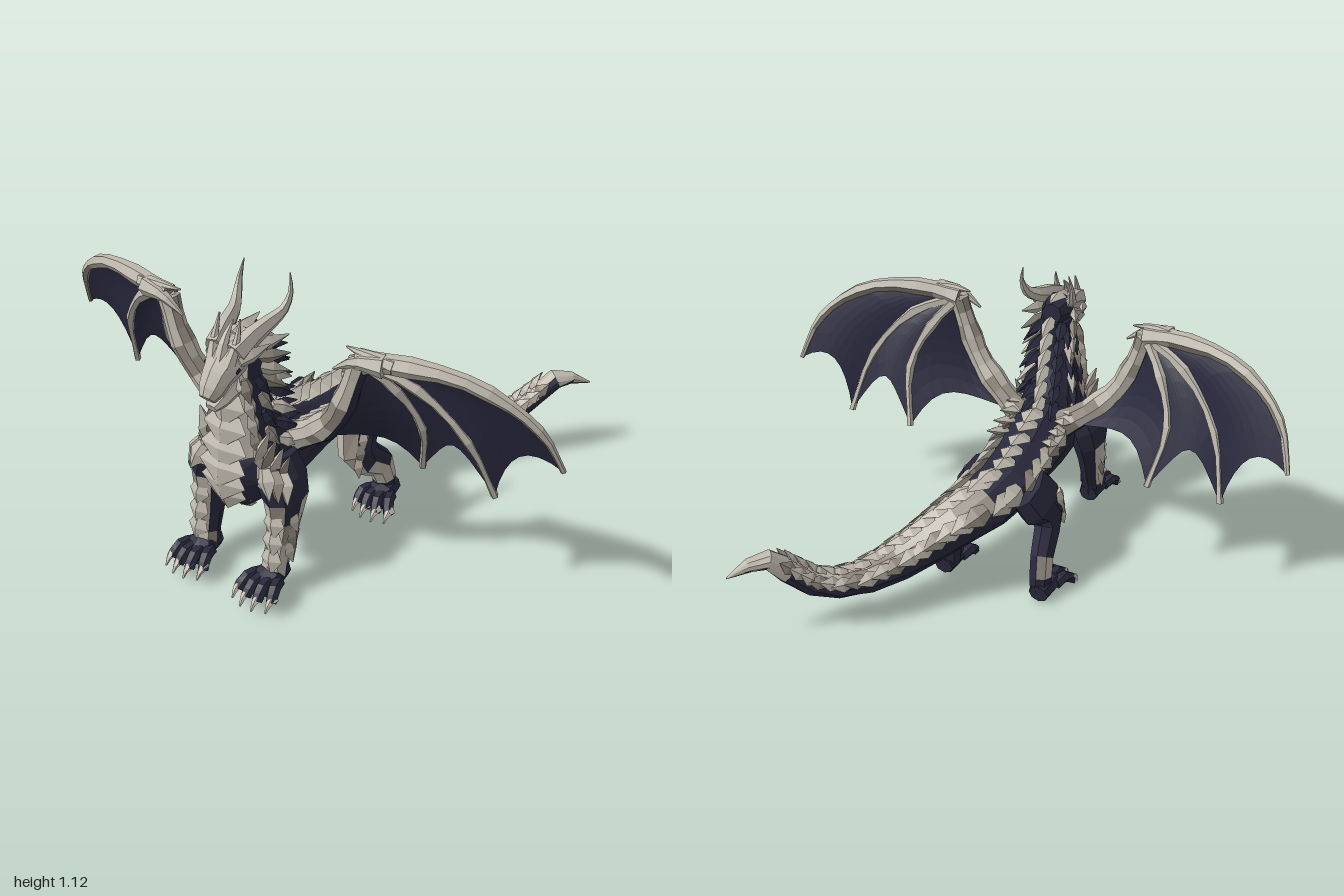
import * as THREE from 'three';
import { mergeGeometries } from 'three/addons/utils/BufferGeometryUtils.js';

const V = (x, y, z) => new THREE.Vector3(x, y, z);
const X = V(1, 0, 0), Y = V(0, 1, 0), Z = V(0, 0, 1);

// Flat-faced skin through stations [x, y, z, sideRadius, otherRadius];
// paint(normal, centre) picks a material index for each face.
function loft(st, sides, ref = X, paint = null) {
  const c = st.map(s => V(s[0], s[1], s[2]));
  const rings = st.map((s, i) => {
    const t = c[Math.min(i + 1, c.length - 1)].clone().sub(c[Math.max(i - 1, 0)]).normalize();
    const u = ref.clone().addScaledVector(t, -ref.dot(t)).normalize();
    const n = t.clone().cross(u);
    return Array.from({ length: sides }, (_, j) => {
      const a = j / sides * Math.PI * 2;
      return c[i].clone().addScaledVector(u, Math.cos(a) * s[3]).addScaledVector(n, Math.sin(a) * s[4]);
    });
  });
  const bins = [[], [], []];
  const face = (...q) => {
    const n = q[1].clone().sub(q[0]).cross(q[2].clone().sub(q[0])).normalize();
    const m = q.reduce((a, p) => a.add(p), V(0, 0, 0)).divideScalar(q.length);
    const bin = bins[paint ? paint(n, m) : 0];
    for (let k = 1; k < q.length - 1; k++) [q[0], q[k], q[k + 1]].forEach(p => bin.push(p.x, p.y, p.z));
  };
  const last = rings.length - 1;
  for (let j = 0; j < sides; j++) {
    const k = (j + 1) % sides;
    for (let i = 0; i < last; i++) face(rings[i][j], rings[i][k], rings[i + 1][k], rings[i + 1][j]);
    face(c[0], rings[0][k], rings[0][j]);
    face(c[last], rings[last][j], rings[last][k]);
  }
  const g = new THREE.BufferGeometry();
  g.setAttribute('position', new THREE.Float32BufferAttribute(bins.flat(), 3));
  let start = 0;
  if (paint) bins.forEach((b, i) => { if (b.length) g.addGroup(start, b.length / 3, i); start += b.length / 3; });
  g.computeVertexNormals();
  return g;
}

// Mirror across x = 0, keeping faces outward
function mirror(geo) {
  const g = geo.clone(), p = g.attributes.position, o = geo.attributes.position;
  for (let i = 0; i < p.count; i += 3)
    [0, 2, 1].forEach((k, j) => p.setXYZ(i + j, -o.getX(i + k), o.getY(i + k), o.getZ(i + k)));
  g.computeVertexNormals();
  return g;
}

const curve = pts => new THREE.CatmullRomCurve3(pts.map(p => V(...p)));
// Tapered rod along a curve, with slightly swollen joints
const rod = (pts, r0, r1, n = 9, ref = X, sides = 6, knob = 0, paint = null) => loft(curve(pts).getPoints(n).map((p, i) => {
  const r = (r0 + (r1 - r0) * i / n) * (1 + (i % 3 ? 0 : knob));
  return [p.x, p.y, p.z, r, r];
}), sides, ref, paint);
// Ridged pointed plate
function scale(p, dir, side, len, w, th) {
  const d = dir.clone().normalize();
  const at = (f, a, b) => { const q = p.clone().addScaledVector(d, f * len); return [q.x, q.y, q.z, a, b]; };
  return loft([at(0, w * 0.6, th * 0.6), at(0.4, w, th), at(1, 0.002, 0.002)], 4, side);
}
// Mottled bone: mostly light, some faces taupe
const tone = m => Math.abs(Math.sin(m.x * 91 + m.y * 157 + m.z * 211)) > .38 ? 1 : 2;

export function createModel() {
  const root = new THREE.Group();
  root.name = 'dragon';
  const mat = (name, color, side = THREE.FrontSide) => {
    const m = new THREE.MeshStandardMaterial({ color, side });
    m.name = name;
    return m;
  };
  const navy = mat('navyHide', 0x29293d), bone = mat('boneScale', 0xbdb7ac);
  const taupe = mat('taupeScale', 0x918a7f), claw = mat('clawIvory', 0xc8c2b6);
  const skin = mat('wingMembrane', 0x28283d, THREE.DoubleSide);
  const mats = [navy, bone, taupe];
  const add = (name, g, m) => { const o = new THREE.Mesh(g, m); o.name = name; root.add(o); };
  const pair = (name, g, m) => { add(name + 'Left', g, m); add(name + 'Right', mirror(g), m); };

  // Torso running into the curled tail
  const body = [
    [0, .43, .66, .05, .08], [0, .44, .6, .11, .14], [0, .44, .48, .13, .16], [0, .42, .35, .125, .14],
    [0, .41, .2, .12, .1], [0, .4, .05, .12, .09], [.03, .375, -.05, .11, .09], [.1, .32, -.13, .092, .092],
    [.18, .255, -.21, .08, .085], [.265, .2, -.31, .066, .078], [.34, .175, -.41, .055, .062],
    [.41, .18, -.49, .048, .052], [.48, .215, -.555, .042, .05], [.54, .285, -.605, .038, .046],
    [.59, .35, -.65, .04, .036], [.635, .345, -.7, .026, .024], [.69, .312, -.76, .003, .003]];
  add('bodyAndTail', loft(body, 10, X, (n, m) =>
    m.z < -.63 ? (n.y > -.4 ? 1 : 0) : m.z < -.5 ? (n.y + .6 * (n.z - n.x) > .3 ? 1 : 0) :
      n.y > .3 && m.z < -.08 ? tone(m) : 0), mats);

  // Overlapping scale rows down the back and tail
  const light = [], dark = [], mane = [];
  for (let u = 2.9, k = 0; u < 13.3; u += .46, k++) {
    const i = Math.floor(u), f = u - i;
    const s = body[i].map((v, q) => v + (body[i + 1][q] - v) * f);
    const t = V(...body[i + 1]).sub(V(...body[i])).normalize();
    const side = t.clone().cross(Y).normalize(), n = side.clone().cross(t);
    for (const a of [-1, 0, 1]) {
      const out = side.clone().multiplyScalar(Math.sin(a)).addScaledVector(n, Math.cos(a));
      const p = V(s[0], s[1], s[2]).addScaledVector(side, Math.sin(a) * s[3]).addScaledVector(n, Math.cos(a) * s[4]);
      const size = .4 + s[3] * 5.5;
      const w = side.clone().multiplyScalar(Math.cos(a)).addScaledVector(n, -Math.sin(a));
      (k % 3 === 1 && a ? dark : light).push(
        scale(p, t.clone().addScaledVector(out, a ? .2 : .27), w, .115 * size, .043 * size, .02 * size));
    }
  }

  // Neck, bone in front and dark behind
  add('neck', loft([[0, .46, .51, .13, .15], [0, .58, .52, .1, .13], [0, .68, .54, .08, .1],
    [0, .78, .545, .07, .085], [0, .89, .53, .065, .075]], 10, X, (n, m) => m.z > .585 ? 1 : 0), mats);

  // Large chevron plates on throat and chest
  const chest = curve([[0, .84, .61], [0, .72, .625], [0, .6, .645], [0, .5, .66], [0, .42, .65], [0, .35, .59]]);
  for (let i = 0; i < 9; i++) {
    const f = i / 8, w = .055 + .04 * Math.sin(Math.PI * Math.min(1, f * .95 + .05));
    light.push(scale(chest.getPoint(f), chest.getTangent(f).add(V(0, 0, .22)), X, .115, w, .028));
  }

  // Scales on neck sides and shoulders, and the swept mane
  const both = (list, g) => list.push(g, mirror(g));
  for (let i = 0; i < 6; i++) {
    const y = .82 - i * .062, w = .062 + i * .011;
    both(i % 3 ? light : dark, scale(V(w * .85, y, .6), V(.25, -.75, .05), Z, .09, .03, .016));
    both(i % 2 ? dark : mane, scale(V(w, y - .01, .55), V(.3, -.8, -.35), Z, .085, .026, .014));
    both(i % 2 ? light : mane, scale(V(w * .8, y + .04, .49), V(.4, -.45, -.75), Z, .1, .026, .016));
    both(mane, scale(V(.04, y + .06, .475 - i * .012), V(.2, -.25, -.8), X, .1, .024, .018));
    light.push(scale(V(0, y + .08, .465 - i * .015), V(0, -.35, -.8), X, .1, .026, .02));
  }
  for (let i = 0; i < 4; i++) {
    both(i % 2 ? dark : light, scale(V(.1 + i * .015, .54 - i * .035, .61 - i * .015), V(.3, .8, -.1), Z, .12, .035, .02));
    both(light, scale(V(.09, .53 - i * .012, .44 - i * .06), V(.35, .35, -.8), X, .11, .035, .018));
    if (i < 3) both(i % 2 ? dark : light, scale(V(.125 + i * .022, .51 - i * .012, .61 - i * .02), V(.25, -.6, .2), X, .11, .036, .02));
  }

  // Head: skull, jaw, brow crest, cheek spikes and horns
  add('skull', loft([[0, .92, .46, .04, .04], [0, .915, .53, .066, .065], [0, .885, .61, .07, .06],
    [0, .85, .665, .054, .05], [0, .815, .7, .043, .042], [0, .795, .722, .028, .028]], 8, X, (n, m) =>
    m.z < .58 && (n.y > .4 || m.z < .5) ? 0 : 1), mats);
  add('lowerJaw', loft([[0, .83, .53, .06, .05], [0, .795, .61, .055, .045], [0, .765, .675, .04, .03],
    [0, .752, .705, .022, .016]], 8, X, n => n.y < -.6 ? 2 : 1), mats);
  light.push(rod([[0, .89, .65], [0, .96, .62], [0, 1.01, .575]], .028, .003, 5));
  light.push(scale(V(0, .96, .58), V(0, .1, -1), X, .14, .03, .02));
  both(light, rod([[.03, .88, .65], [.042, .95, .62], [.04, 1.03, .59]], .026, .003, 5));
  both(light, scale(V(.062, .9, .63), V(.35, .25, -1), Y, .12, .028, .016));
  for (let i = 0; i < 4; i++)
    both(i % 2 ? dark : light, scale(V(.058, .91 - i * .038, .54 - i * .005), V(.38, .1 - i * .25, -.8), Y, .12, .026, .016));
  pair('horn', loft(curve([[.04, .92, .62], [.055, .955, .55], [.072, .98, .48], [.092, 1.01, .435],
    [.1, 1.06, .408], [.09, 1.12, .395]]).getPoints(10).map((p, i) =>
    [p.x, p.y, p.z, .036 * (1 - i / 10.5), .046 * (1 - i / 10.5)]), 6), bone);
  pair('eye', scale(V(.064, .872, .648), V(-.25, .15, -1), Y, .04, .01, .006), navy);

  // Legs and feet with clawed toes
  const foot = (name, x, y, z, spread) => {
    pair(name + 'Foot', loft([[x, y + .04, z - .15, .038, .038], [x, y + .05, z - .07, .056, .042],
      [x, y + .032, z - .01, .052, .026]], 8), navy);
    const toes = [], claws = [];
    for (let i = -1.5; i < 2; i++) {
      const tx = x + i * .038, tz = z + .02 - Math.abs(i) * .018, ex = tx + i * .008 + spread;
      toes.push(rod([[x + i * .025, y + .045, z - .07], [tx, y + .055, tz - .02], [ex, y + .024, tz + .015]], .027, .02, 4));
      claws.push(rod([[ex, y + .034, tz], [ex, y + .032, tz + .025], [ex, y + .004, tz + .05]], .021, .003, 3, X, 5));
    }
    pair(name + 'Toes', mergeGeometries(toes), navy);
    pair(name + 'Claws', mergeGeometries(claws), claw);
  };
  pair('frontLeg', loft([[.11, .5, .52, .055, .09], [.135, .43, .53, .072, .105], [.155, .36, .535, .064, .095],
    [.156, .28, .55, .052, .072], [.153, .2, .57, .045, .058], [.15, .13, .595, .045, .05],
    [.148, .07, .61, .047, .05]], 8, X, (n, m) => m.y > .44 ? (n.z > .25 ? 1 : 0) :
    m.y > .1 && m.y < .36 && (n.z > .3 || (n.x > .6 && m.y < .32)) ? tone(m) : 0), mats);
  pair('hindLeg', loft([[.1, .43, .03, .06, .1], [.135, .36, .06, .068, .11], [.155, .29, .095, .06, .09],
    [.17, .235, .06, .05, .07], [.185, .17, -.02, .045, .058], [.19, .1, -.04, .045, .048],
    [.19, .04, -.045, .04, .042]], 8, X, (n, m) =>
    (n.z > .3 && m.y > .22 && m.y < .4) || (m.y > .08 && m.y < .22 && (n.x > .3 || n.z > .4)) ? tone(m) : 0), mats);
  foot('front', .147, .03, .71, 0);
  foot('hind', .2, 0, .065, .012);
  for (let i = 0; i < 3; i++) {
    both(light, scale(V(.155, .33 - i * .07, .605 + i * .01), V(.1, -1, .25), X, .09, .042, .02));
    both(i % 2 ? dark : light, scale(V(.2 - i * .004, .33 - i * .06, .55 + i * .01), V(.1, -1, 0), Z, .09, .035, .014));
    both(i % 2 ? dark : light, scale(V(.19, .39 - i * .05, .11 + i * .015), V(.12, -.8, .15), Z, .08, .034, .018));
  }

  // Wings: arm, leading edge, two fingers and scalloped membrane
  const wrist = [.38, .92, .445];
  const arm = [wrist, [.345, .8, .45], [.29, .68, .44], [.2, .58, .42], [.09, .5, .39]];
  const edge = [wrist, [.5, .94, .43], [.7, .932, .385], [.85, .86, .335], [.94, .76, .285], [.99, .62, .23]];
  const outer = [wrist, [.55, .85, .385], [.7, .67, .315], [.77, .43, .23]];
  const inner = [wrist, [.47, .81, .37], [.53, .65, .3], [.495, .43, .22]];
  pair('wingArm', rod(arm, .034, .05, 9, Z, 8, .15, (n, m) => n.x - n.y > .95 ? 0 : tone(m)), mats);
  pair('wingLeadingEdge', rod(edge, .037, .008, 12, Z, 6, .15, n => n.y + n.x < -.6 ? 2 : 1), mats);
  pair('wingFingers', mergeGeometries([outer, inner].map(f => rod(f, .021, .01, 9, Z, 5, .35))), bone);
  pair('wingThumb', mergeGeometries([
    rod([[.47, .935, .45], [.38, .93, .47], [.3, .88, .47]], .038, .004, 5, Z),
    rod([[.5, .94, .44], [.4, .955, .45], [.33, .955, .44]], .028, .003, 5, Z)]), bone);
  const panel = (a, b, sag) => {
    const ca = curve(a), cb = curve(b), N = 8, pos = [];
    const at = (i, j) => {
      const s = i / N, t = j / N * (1 - sag * 4 * s * (1 - s));
      return ca.getPoint(t).lerp(cb.getPoint(t), s).add(V(0, 0, -.02 * Math.sin(Math.PI * s) * t));
    };
    for (let i = 0; i < N; i++) for (let j = 0; j < N; j++)
      for (const [p, q] of [[0, 0], [0, 1], [1, 1], [0, 0], [1, 1], [1, 0]]) pos.push(...at(i + p, j + q).toArray());
    const g = new THREE.BufferGeometry();
    g.setAttribute('position', new THREE.Float32BufferAttribute(pos, 3));
    g.computeVertexNormals();
    return g;
  };
  pair('wingMembrane', mergeGeometries([panel(edge, outer, .15), panel(outer, inner, .24), panel(inner, arm, .2)]), skin);

  add('lightScales', mergeGeometries(light), bone);
  add('shadedScales', mergeGeometries(dark), taupe);
  add('mane', mergeGeometries(mane), navy);
  return root;
}
